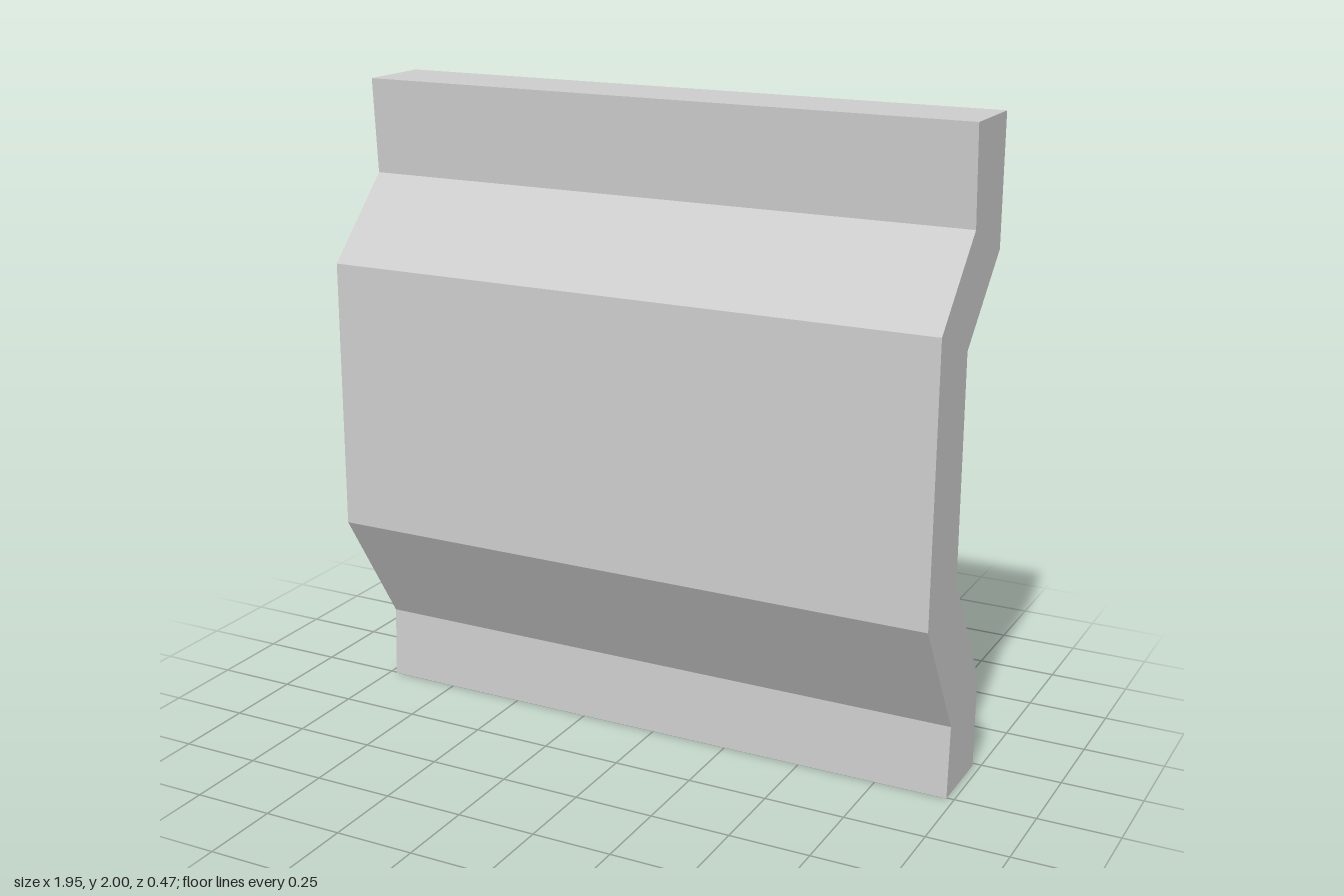
import * as THREE from 'three';

export function createModel() {
  const group = new THREE.Group();
  group.name = 'wallPanel';

  // Side profile as (z, y): up the back, then down the front
  const profile = [
    [-0.235, 0], [-0.235, 0.298], [0.008, 0.685], [0.01, 1.37], [-0.235, 1.61], [-0.235, 2],
    [0.005, 2], [-0.013, 1.705], [0.23, 1.46], [0.236, 0.617], [-0.006, 0.228], [0.004, 0],
  ];
  const shape = new THREE.Shape(profile.map(([z, y]) => new THREE.Vector2(z, y)));

  // Sweep the profile across the width, then turn it to run along x
  const width = 1.954;
  const geometry = new THREE.ExtrudeGeometry(shape, { depth: width, bevelEnabled: false });
  geometry.translate(0, 0, -width / 2);
  geometry.rotateY(-Math.PI / 2);

  const panel = new THREE.Mesh(
    geometry,
    new THREE.MeshStandardMaterial({ color: 0xcccccc, flatShading: true })
  );
  panel.name = 'foldedPanel';
  group.add(panel);
  return group;
}
